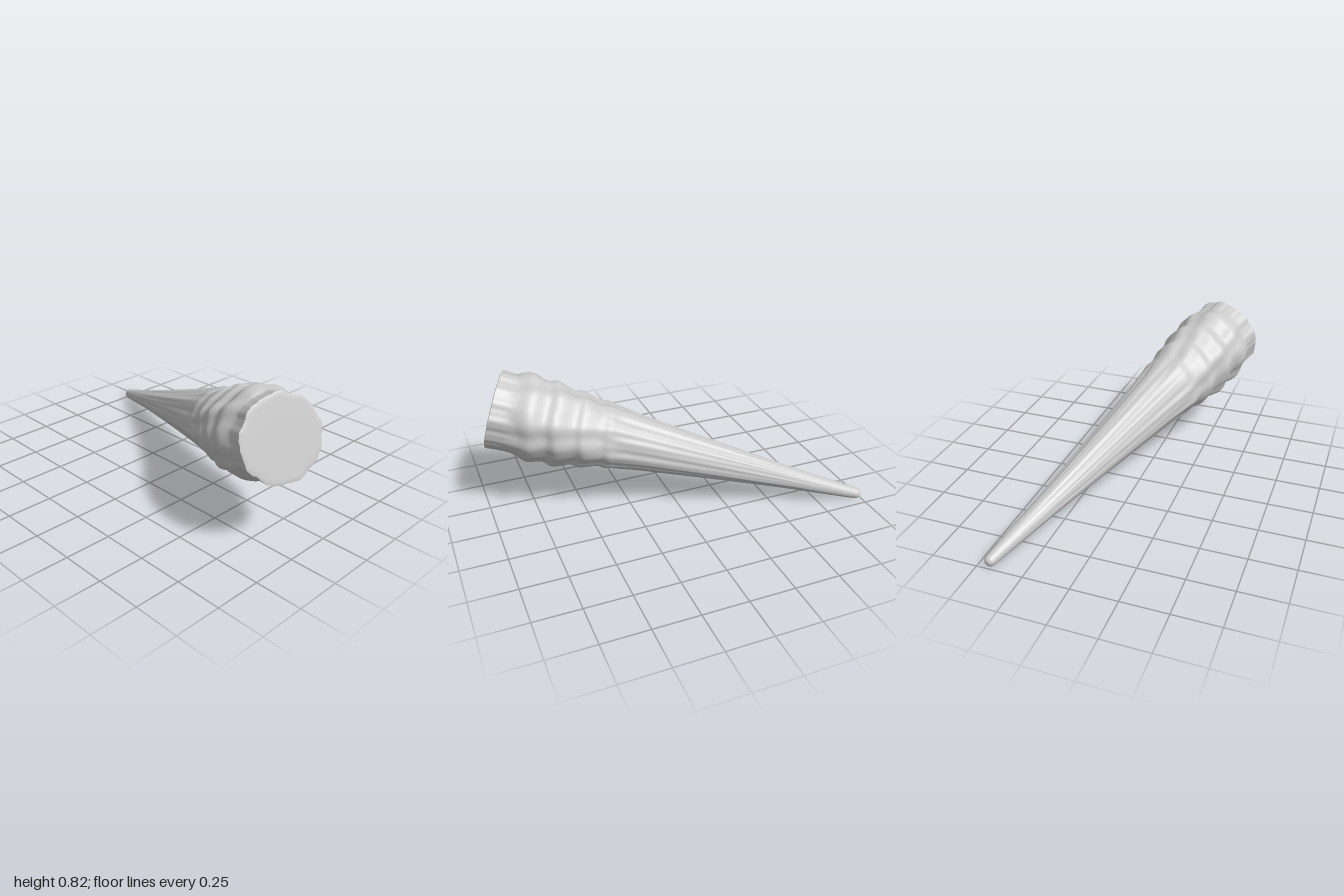
import * as THREE from 'three';

const TIP = new THREE.Vector3(-0.995, 0.029, -0.445);
const BASE = new THREE.Vector3(0.91, 0.615, 0.262);
const AXIS = BASE.clone().sub(TIP).normalize();
const UP = new THREE.Vector3(0, 1, 0).addScaledVector(AXIS, -AXIS.y).normalize();
const SIDE = new THREE.Vector3().crossVectors(AXIS, UP);
const SEGMENTS = 160;

// Profile: position along the axis (0 tip, 1 base) and radius
const PROFILE = new THREE.SplineCurve([
  [0, 0.004], [0.002, 0.018], [0.008, 0.028], [0.02, 0.032], [0.1, 0.046], [0.2, 0.062],
  [0.3, 0.082], [0.42, 0.107], [0.52, 0.129], [0.62, 0.152], [0.68, 0.17], [0.705, 0.18],
  [0.73, 0.179], [0.77, 0.203], [0.797, 0.198], [0.838, 0.225], [0.868, 0.213],
  [0.905, 0.234], [0.94, 0.214], [0.965, 0.208], [1, 0.212],
].map(([t, r]) => new THREE.Vector2(t, r)));

const smooth = THREE.MathUtils.smoothstep;

// Point on the horn surface, with lengthwise grooves and skewed, lumpy rings
function surfacePoint(t, r, a) {
  const ringZone = smooth(t, 0.6, 0.75) * (1 - smooth(t, 0.93, 0.97));
  const body = smooth(t, 0.03, 0.3) * (1 - smooth(t, 0.65, 0.75));
  const neck = smooth(t, 0.93, 0.97);
  const grooves = 0.018 * Math.sin(7 * a + 1 + 2 * t) + 0.014 * Math.sin(12 * a - 3 * t)
    + 0.008 * Math.sin(23 * a + 5 * t);
  const lumps = 0.016 * Math.sin(9 * a + 14 * t) + 0.014 * Math.sin(5 * a - 20 * t)
    + 0.008 * Math.sin(14 * a + 30 * t);
  const flutes = 0.018 * Math.cos(9 * a) + 0.01 * Math.cos(14 * a + 1) + 0.005 * Math.sin(31 * a);
  const radius = r * (1 + body * grooves + ringZone * lumps + neck * flutes);
  const shift = ringZone * (0.016 * Math.cos(a - 0.5) + 0.004 * Math.sin(4 * a));
  return TIP.clone().lerp(BASE, t + shift)
    .addScaledVector(UP, radius * Math.cos(a))
    .addScaledVector(SIDE, radius * Math.sin(a));
}

// Closed loops joined into a smooth skin
function loft(rings) {
  const n = rings[0].length, index = [];
  for (let i = 0; i < rings.length - 1; i++) {
    for (let j = 0; j < n; j++) {
      const k = (j + 1) % n, p = i * n, q = p + n;
      index.push(p + j, p + k, q + j, p + k, q + k, q + j);
    }
  }
  const geometry = new THREE.BufferGeometry().setFromPoints(rings.flat());
  geometry.setIndex(index);
  geometry.computeVertexNormals();
  return geometry;
}

const loop = (fn) => Array.from({ length: SEGMENTS }, (_, j) => fn(j / SEGMENTS * Math.PI * 2));

export function createModel() {
  const group = new THREE.Group();
  group.name = 'horn';
  const material = new THREE.MeshStandardMaterial({ color: 0xcccccc });
  const add = (name, geometry) => {
    const mesh = new THREE.Mesh(geometry, material);
    mesh.name = name;
    group.add(mesh);
  };

  // Tapered horn with its ringed collar
  const rings = PROFILE.getPoints(180).map((p) => loop((a) => surfacePoint(p.x, p.y, a)));
  add('hornBody', loft(rings));

  // Rounded end of the tip
  const tipCentre = TIP.clone();
  add('tipCap', loft([loop(() => tipCentre), rings[0]]));

  // Flat cut face at the thick end, its rim faintly rounded
  const rim = rings[rings.length - 1];
  const inset = (s, out) => rim.map((p) => p.clone().lerp(BASE, s).addScaledVector(AXIS, out));
  add('baseFace', loft([rim, inset(0.03, 0.003), inset(0.12, 0.004), inset(0.5, 0.004), inset(1, 0.004)]));
  return group;
}
